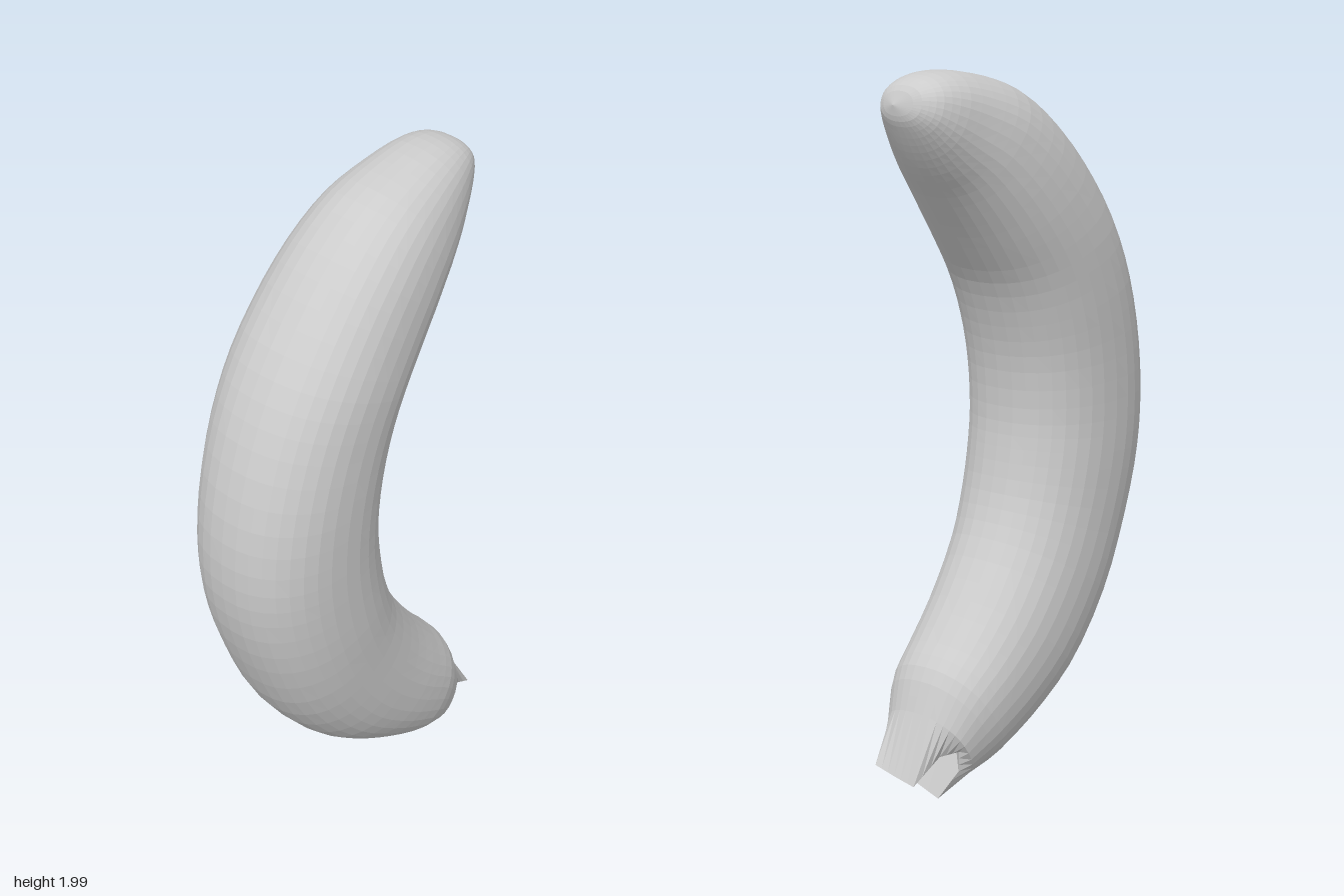
import * as THREE from 'three';

const SEG = 36, RINGS = 50;

// Body sections from the split end to the rounded tip:
// outer edge x, y, inner edge x, y, centre z, half width z
const SECTIONS = [
  [0.265, 0.04, 0.4, 0.25, 0, 0.14],
  [0.17, 0.07, 0.355, 0.36, 0, 0.175],
  [0, 0.155, 0.285, 0.44, 0, 0.192],
  [-0.16, 0.27, 0.2, 0.545, 0, 0.203],
  [-0.31, 0.455, 0.105, 0.69, 0.005, 0.21],
  [-0.41, 0.67, 0.06, 0.8, 0.01, 0.216],
  [-0.465, 0.86, 0.035, 0.92, 0.01, 0.22],
  [-0.48, 1.02, 0.025, 1.02, 0.01, 0.222],
  [-0.46, 1.21, 0.035, 1.16, 0.008, 0.225],
  [-0.4, 1.41, 0.065, 1.28, 0.003, 0.228],
  [-0.32, 1.57, 0.115, 1.4, 0, 0.229],
  [-0.2, 1.73, 0.185, 1.5, -0.005, 0.221],
  [-0.07, 1.86, 0.25, 1.585, -0.008, 0.207],
  [0.06, 1.945, 0.315, 1.665, -0.012, 0.186],
  [0.2, 1.985, 0.37, 1.725, -0.02, 0.158],
  [0.33, 2.0, 0.415, 1.785, -0.03, 0.13],
  [0.41, 1.99, 0.45, 1.84, -0.034, 0.102],
  [0.453, 1.967, 0.471, 1.88, -0.028, 0.068],
  [0.478, 1.92, 0.478, 1.92, -0.015, 0],
];

// Split rim, once around: outer flap tip, notch, slanted inner flap tip, notch, back again
const RIM = [
  [0.355, 0.01, -0.008], [0.342, 0.018, 0.045], [0.335, 0.085, 0.105], [0.34, 0.145, 0.115],
  [0.39, 0.15, 0.095], [0.473, 0.1, 0.078], [0.472, 0.083, 0.01], [0.465, 0.065, -0.055],
  [0.385, 0.135, -0.08], [0.34, 0.145, -0.112], [0.335, 0.085, -0.105], [0.37, 0.005, -0.06],
].map((p) => new THREE.Vector3(...p));

function rimPoint(j) {
  const k = (j / SEG) * RIM.length, i = Math.floor(k);
  return RIM[i].clone().lerp(RIM[(i + 1) % RIM.length], k - i);
}

const splineOf = (pick) => new THREE.CatmullRomCurve3(SECTIONS.map((s) => new THREE.Vector3(...pick(s))));

// Slightly squared ellipse, fuller than a plain one
const full = (v) => Math.sign(v) * Math.abs(v) ** 0.88;

function bodyGeometry() {
  const rings = [];
  const ring = (fn) => rings.push(Array.from({ length: SEG }, (_, j) => fn(j)));

  // Pocket inside the split end, then its rim
  const pocket = new THREE.Vector3(0.24, 0.21, 0);
  for (const t of [1, 0.6, 0.3, 0]) ring((j) => rimPoint(j).lerp(pocket, t));

  // Curved, tapering body
  const outer = splineOf((s) => [s[0], s[1], 0]);
  const inner = splineOf((s) => [s[2], s[3], 0]);
  const depth = splineOf((s) => [s[4], s[5], 0]);
  for (let i = 0; i <= RINGS; i++) {
    const t = i / RINGS;
    const o = outer.getPoint(t), n = inner.getPoint(t), d = depth.getPoint(t);
    const mid = o.clone().add(n).multiplyScalar(0.5);
    ring((j) => {
      const a = (j / SEG) * Math.PI * 2;
      const p = mid.clone().lerp(o, full(Math.cos(a)));
      p.z = d.x + d.y * full(Math.sin(a));
      return p;
    });
  }

  // The first and last rings shrink to a point, so there one triangle per side is enough
  const index = [];
  for (let i = 0; i < rings.length - 1; i++) {
    for (let j = 0; j < SEG; j++) {
      const a = i * SEG + j, b = i * SEG + (j + 1) % SEG;
      if (i > 0) index.push(a, b, a + SEG);
      if (i < rings.length - 2) index.push(b, b + SEG, a + SEG);
    }
  }
  const geometry = new THREE.BufferGeometry().setFromPoints(rings.flat());
  geometry.setIndex(index);
  geometry.computeVertexNormals();
  return geometry;
}

export function createModel() {
  const group = new THREE.Group();
  group.name = 'curvedFruit';
  const material = new THREE.MeshStandardMaterial({ color: 0xcccccc, flatShading: true, side: THREE.DoubleSide });
  const body = new THREE.Mesh(bodyGeometry(), material);
  body.name = 'body';
  group.add(body);
  return group;
}
